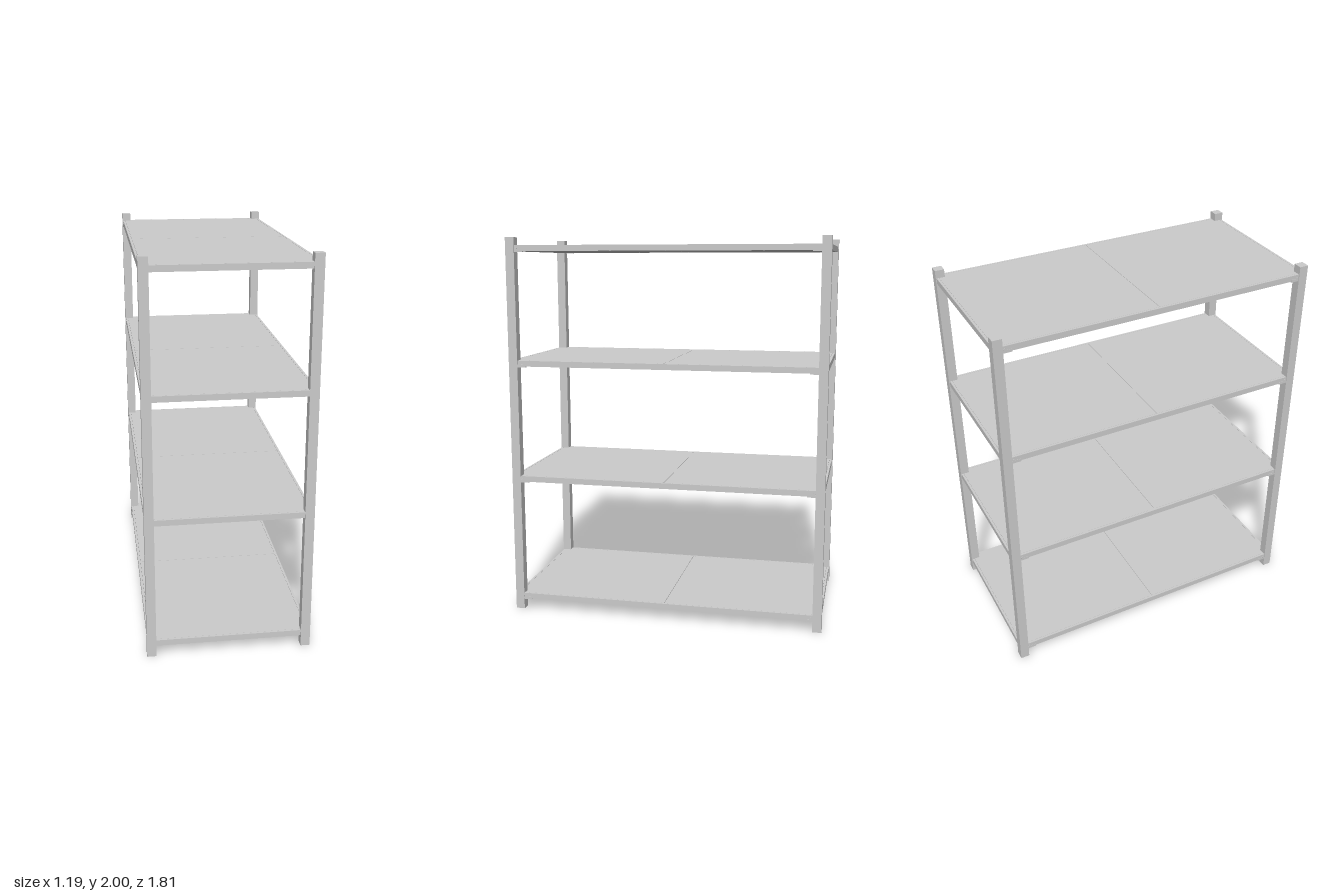
import * as THREE from 'three';

export function createModel() {
  const model = new THREE.Group();
  model.name = 'shelvingRack';
  const mat = new THREE.MeshStandardMaterial({ color: 0xcccccc });

  const W = 0.83, L = 1.66, POST = 0.047;   // footprint and post size
  const BEAM = 0.03, T = 0.012, INSET = 0.004;

  function box(parent, name, w, h, d, x, y, z) {
    const mesh = new THREE.Mesh(new THREE.BoxGeometry(w, h, d), mat);
    mesh.name = name;
    mesh.position.set(x, y, z);
    parent.add(mesh);
    return mesh;
  }

  // Four square corner posts
  for (const sx of [-1, 1]) for (const sz of [-1, 1]) {
    box(model, 'cornerPost', POST, 2, POST, sx * (W - POST) / 2, 1, sz * (L - POST) / 2);
  }

  // One level: two panels framed by beams, with bolted tabs at the posts
  function makeLevel(y) {
    const level = new THREE.Group();
    level.name = 'shelfLevel';
    const bx = W / 2 - INSET - T / 2, bz = L / 2 - INSET - T / 2;
    const panelW = W - 2 * (INSET + T) - 0.002;
    const panelL = L / 2 - INSET - T - 0.001;

    for (const s of [-1, 1]) {
      box(level, 'shelfPanel', panelW, BEAM, panelL - 0.001, 0, 0, s * (panelL / 2 + 0.0005));
      box(level, 'sideBeam', T, BEAM, L - 2 * POST, s * bx, 0, 0);
      box(level, 'endBeam', W - 2 * POST, BEAM, T, 0, 0, s * bz);

      for (const e of [-1, 1]) {
        // Tab hangs slightly below the side beam
        const z = e * (L / 2 - POST - 0.022);
        box(level, 'beamTab', T + 0.003, 0.014, 0.044, s * bx, -0.0125, z);
        const bolt = new THREE.Mesh(new THREE.CylinderGeometry(0.006, 0.006, 0.003, 12), mat);
        bolt.name = 'tabBolt';
        bolt.rotation.z = Math.PI / 2;
        bolt.position.set(s * (bx + T / 2 + 0.001), -0.002, e * (L / 2 - POST - 0.008));
        level.add(bolt);
      }
    }
    level.position.y = y;
    model.add(level);
  }
  [0.073, 0.73, 1.35, 1.945].forEach(makeLevel);

  // The rack stands turned about the vertical axis
  model.rotation.y = THREE.MathUtils.degToRad(13.3);
  const root = new THREE.Group();
  root.name = 'rack';
  root.add(model);
  return root;
}
